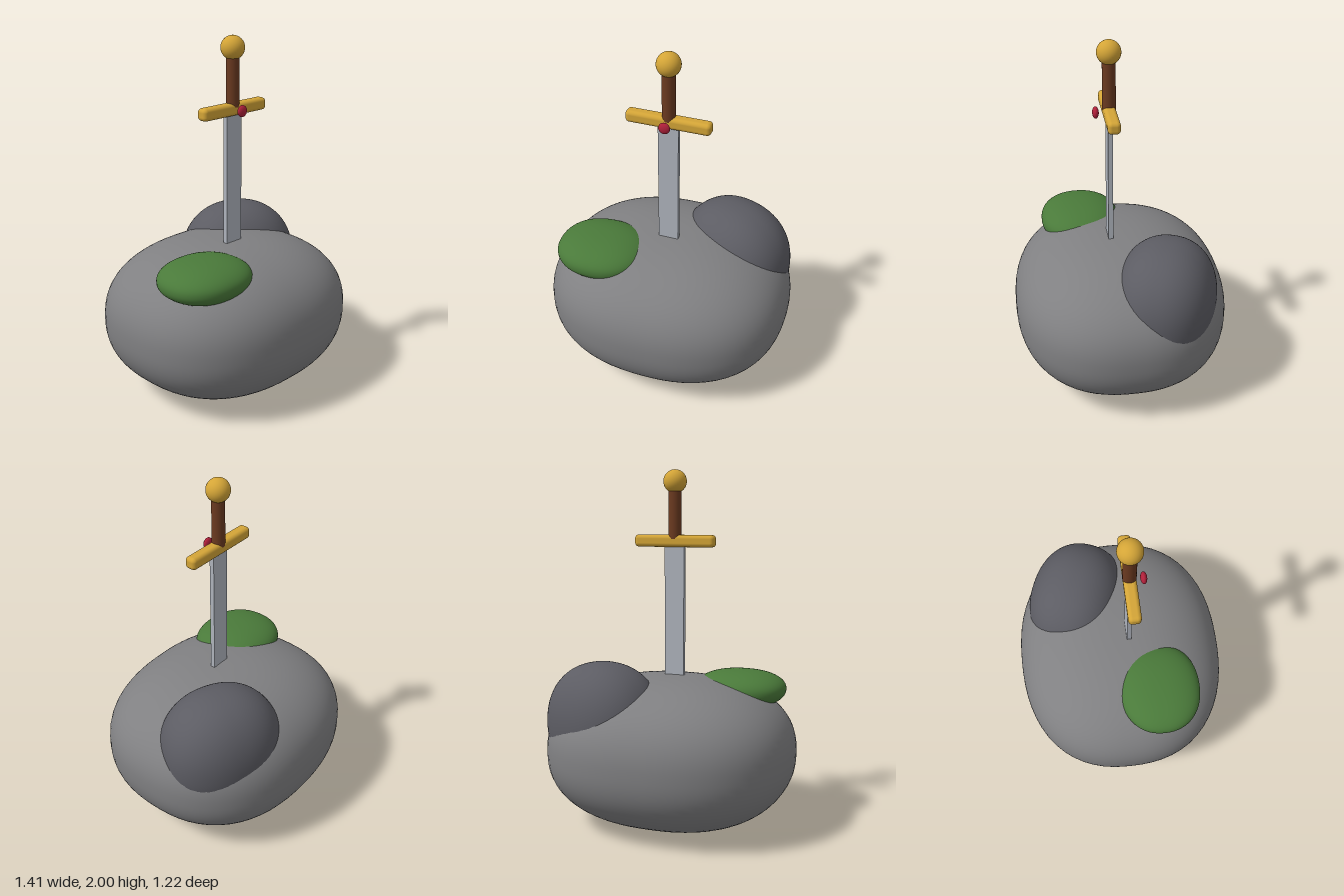
import * as THREE from 'three';
import { RoundedBoxGeometry } from 'three/addons/geometries/RoundedBoxGeometry.js';

// Smooth boulder: a sphere pushed towards a box by exponent p, then scaled
function boulder(rx, ry, rz, p) {
  const geo = new THREE.SphereGeometry(1, 64, 48);
  const pos = geo.attributes.position;
  const nor = geo.attributes.normal;
  const v = new THREE.Vector3();
  const slope = (c) => Math.sign(c) * Math.abs(c) ** (p - 1);
  for (let i = 0; i < pos.count; i++) {
    v.fromBufferAttribute(pos, i);
    const k = (Math.abs(v.x) ** p + Math.abs(v.y) ** p + Math.abs(v.z) ** p) ** (-1 / p);
    v.multiplyScalar(k);
    pos.setXYZ(i, v.x * rx, v.y * ry, v.z * rz);
    v.set(slope(v.x) / rx, slope(v.y) / ry, slope(v.z) / rz).normalize();
    nor.setXYZ(i, v.x, v.y, v.z);
  }
  return geo;
}

export function createModel() {
  const model = new THREE.Group();
  model.name = 'swordInStone';

  const paint = (color) => new THREE.MeshStandardMaterial({ color });
  const gold = paint(0xd4a537);

  function add(parent, name, geometry, material, x, y, z) {
    const mesh = new THREE.Mesh(geometry, material);
    mesh.name = name;
    mesh.position.set(x, y, z);
    parent.add(mesh);
    return mesh;
  }

  // Stones and moss
  add(model, 'mainStone', boulder(0.705, 0.423, 0.61, 2.35), paint(0x808082), 0, 0.428, 0);
  const side = add(model, 'sideStone', boulder(0.345, 0.345, 0.285, 2.2), paint(0x5c5c63), 0.32, 0.6, -0.22);
  side.rotation.y = -0.4;
  add(model, 'mossPatch', boulder(0.262, 0.105, 0.232, 2.2), paint(0x4a7a3a), -0.35, 0.77, 0.19);

  // Sword, standing slightly forward of the stone's middle
  const sword = new THREE.Group();
  sword.name = 'sword';
  sword.position.z = 0.05;
  model.add(sword);

  add(sword, 'blade', new THREE.BoxGeometry(0.114, 0.9, 0.027), paint(0xb0b5be), 0, 1.15, 0);
  add(sword, 'crossguard', new RoundedBoxGeometry(0.47, 0.068, 0.068, 4, 0.022), gold, 0, 1.608, 0);
  add(sword, 'grip', new THREE.CylinderGeometry(0.036, 0.036, 0.29, 32), paint(0x6b3a20), 0, 1.765, 0);
  add(sword, 'pommel', new THREE.SphereGeometry(0.065, 32, 24), gold, 0, 1.935, 0);
  const gem = add(sword, 'gem', new THREE.SphereGeometry(0.032, 24, 16), paint(0xb0203a), 0, 1.606, 0.072);
  gem.scale.z = 0.55;

  return model;
}
